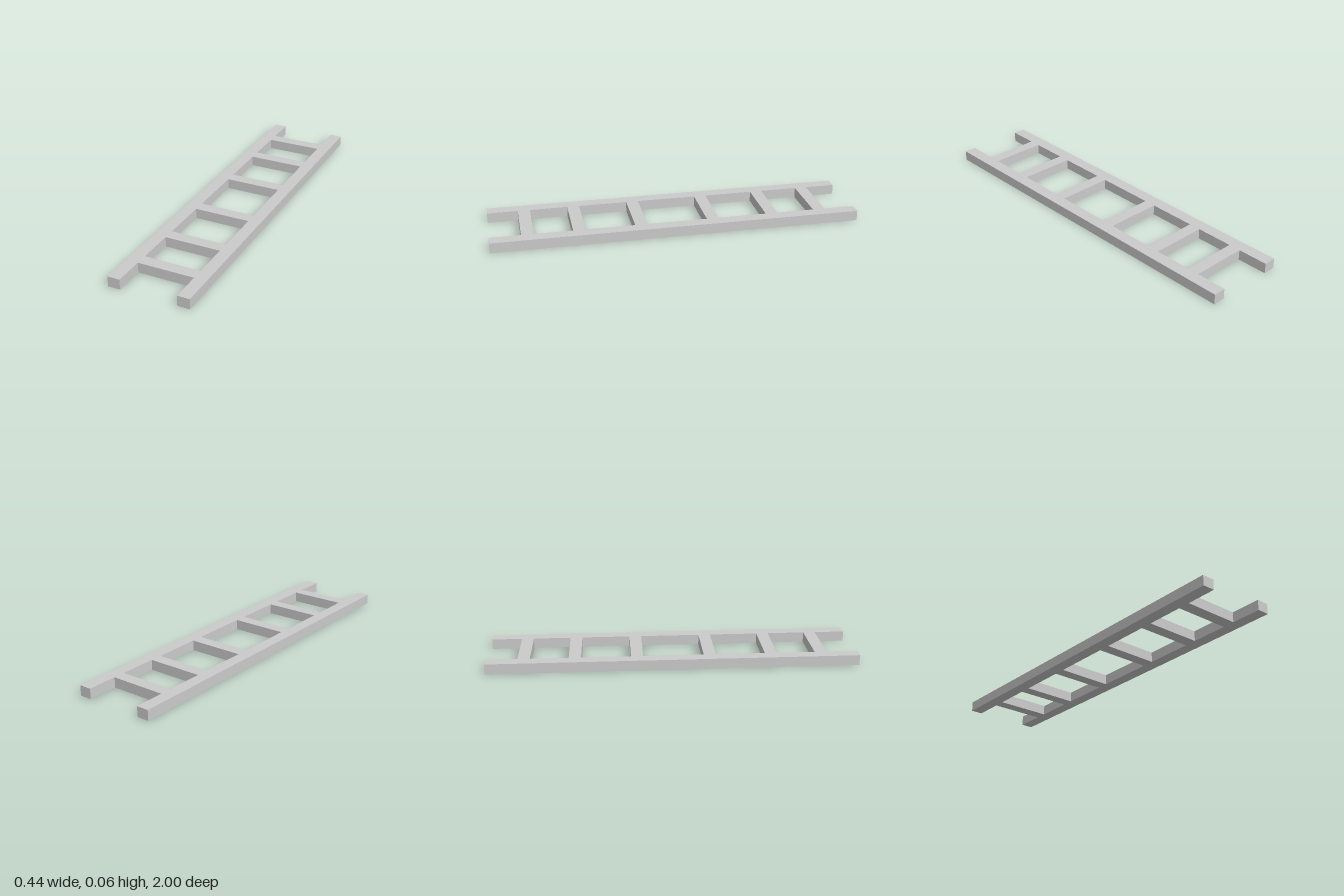
import * as THREE from 'three';

const HALF_LENGTH = 1, OUTER = 0.222, INNER = 0.155, HEIGHT = 0.056, RUNG = 0.066;
const rungZ = [-0.8, -0.528, -0.196, 0.196, 0.528, 0.8];

export function createModel() {
  const group = new THREE.Group();
  group.name = 'ladder';
  const points = (list) => list.map(([x, y]) => new THREE.Vector2(x, y));

  // Outline: two rails, open between them beyond the end rungs
  const end = rungZ[rungZ.length - 1] + RUNG / 2;
  const outline = new THREE.Shape(points([
    [-OUTER, -HALF_LENGTH], [-INNER, -HALF_LENGTH], [-INNER, -end],
    [INNER, -end], [INNER, -HALF_LENGTH], [OUTER, -HALF_LENGTH],
    [OUTER, HALF_LENGTH], [INNER, HALF_LENGTH], [INNER, end],
    [-INNER, end], [-INNER, HALF_LENGTH], [-OUTER, HALF_LENGTH],
  ]));

  // Openings between neighbouring rungs
  for (let i = 0; i < rungZ.length - 1; i++) {
    const a = rungZ[i] + RUNG / 2, b = rungZ[i + 1] - RUNG / 2;
    outline.holes.push(new THREE.Path(points([[-INNER, a], [-INNER, b], [INNER, b], [INNER, a]])));
  }

  // Rails and rungs are one flush piece, lying flat on the ground
  const geometry = new THREE.ExtrudeGeometry(outline, { depth: HEIGHT, bevelEnabled: false });
  geometry.rotateX(-Math.PI / 2);
  const frame = new THREE.Mesh(geometry, new THREE.MeshStandardMaterial({ color: 0xcccccc, flatShading: true }));
  frame.name = 'railsAndRungs';
  group.add(frame);
  return group;
}
